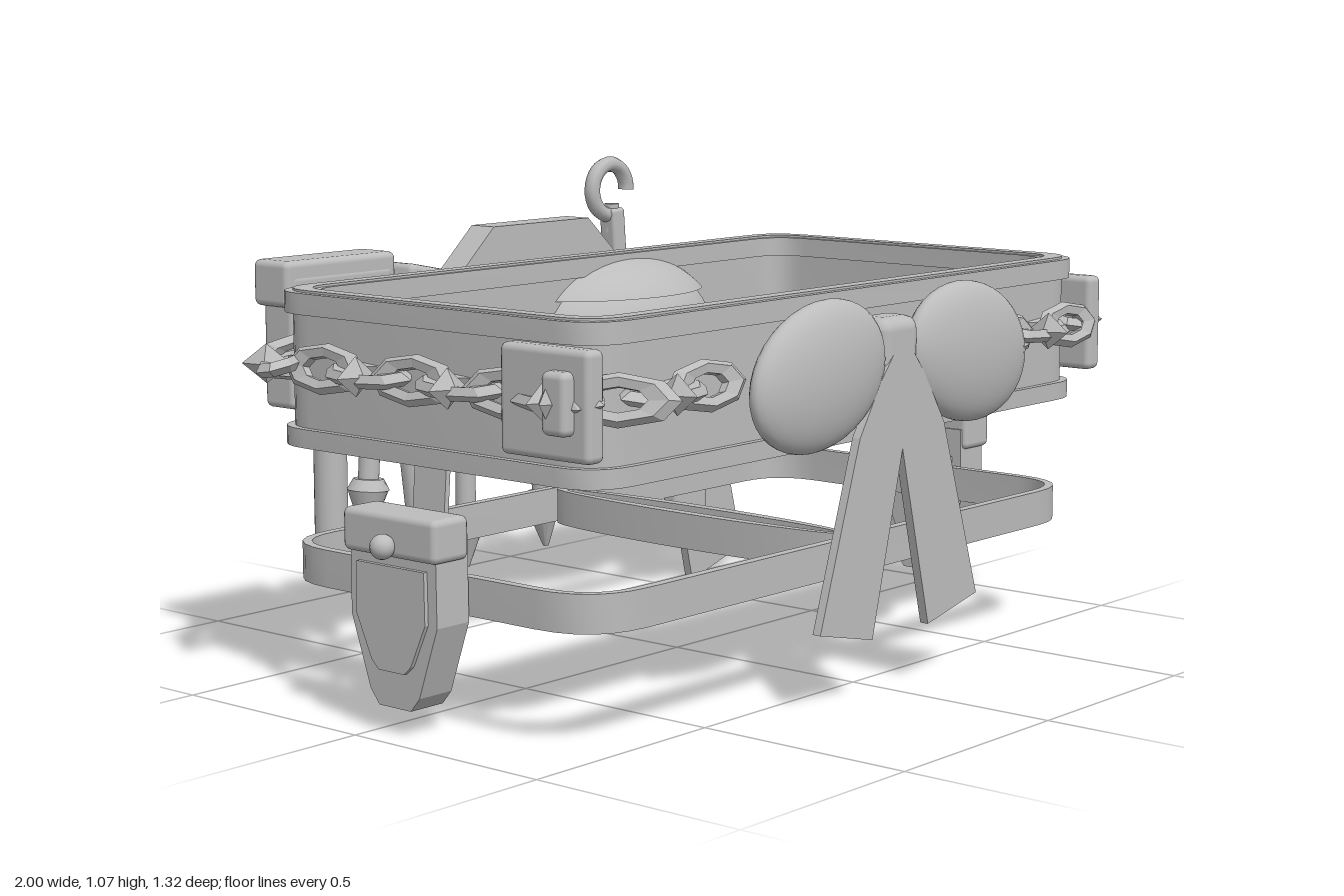
import * as THREE from 'three';
import { toCreasedNormals } from 'three/addons/utils/BufferGeometryUtils.js';
import { RoundedBoxGeometry } from 'three/addons/geometries/RoundedBoxGeometry.js';

const gray = new THREE.MeshStandardMaterial({ color: 0xbcbcbc, side: THREE.DoubleSide });
gray.name = 'plain gray';
const facetGray = gray.clone();
facetGray.flatShading = true;
facetGray.name = 'plain gray faceted';

function part(parent, name, geometry, x = 0, y = 0, z = 0, material = gray) {
  const mesh = new THREE.Mesh(geometry, material);
  mesh.name = name;
  mesh.position.set(x, y, z);
  parent.add(mesh);
  return mesh;
}

const rbox = (w, h, d, r = 0.015) => new RoundedBoxGeometry(w, h, d, 2, r);

// Rounded rectangle in plan, half sizes a and b around (0, cy)
function roundRect(a, b, r, cy, Type = THREE.Shape) {
  const s = new Type();
  s.moveTo(-a + r, cy - b);
  s.lineTo(a - r, cy - b);
  s.quadraticCurveTo(a, cy - b, a, cy - b + r);
  s.lineTo(a, cy + b - r);
  s.quadraticCurveTo(a, cy + b, a - r, cy + b);
  s.lineTo(-a + r, cy + b);
  s.quadraticCurveTo(-a, cy + b, -a, cy + b - r);
  s.lineTo(-a, cy - b + r);
  s.quadraticCurveTo(-a, cy - b, -a + r, cy - b);
  return s;
}

// Upright band following a rounded rectangle
function band(a, b, r, t, y0, y1) {
  const s = roundRect(a, b, r, -0.06);
  s.holes.push(roundRect(a - t, b - t, r * 0.8, -0.06, THREE.Path));
  const g = new THREE.ExtrudeGeometry(s, { depth: y1 - y0, bevelEnabled: false, curveSegments: 6 });
  return toCreasedNormals(g.rotateX(-Math.PI / 2).translate(0, y0, 0), 0.6);
}

// Flat polygon in the front plane with thickness
function plate(points, depth, hole) {
  const s = new THREE.Shape(points.map(p => new THREE.Vector2(...p)));
  if (hole) s.holes.push(new THREE.Path(hole.map(p => new THREE.Vector2(...p))));
  return new THREE.ExtrudeGeometry(s, { depth, bevelEnabled: false });
}

function addBelt(g) {
  part(g, 'beltWall', band(0.84, 0.45, 0.1, 0.035, 0.54, 0.87));
  for (const [y0, y1] of [[0.54, 0.58], [0.82, 0.865]])
    part(g, 'beltTrim', band(0.855, 0.465, 0.11, 0.06, y0, y1));
  part(g, 'lowerHoop', band(0.85, 0.455, 0.16, 0.022, 0.25, 0.33));

  // Narrow loop between the hoop's front and back
  const loop = new THREE.Shape().absellipse(0, -0.06, 0.052, 0.425, 0, Math.PI * 2);
  loop.holes.push(new THREE.Path().absellipse(0, -0.06, 0.027, 0.395, 0, Math.PI * 2));
  const geo = new THREE.ExtrudeGeometry(loop, { depth: 0.08, bevelEnabled: false, curveSegments: 20 });
  part(g, 'crossLoop', toCreasedNormals(geo.rotateX(-Math.PI / 2), 0.6), 0, 0.25, 0);
}

// Chain of alternately turned links with small spikes
function addChain(g) {
  const pts = roundRect(0.865, 0.475, 0.1, 0.06).getSpacedPoints(40);
  const link = new THREE.TorusGeometry(0.038, 0.016, 5, 8).scale(2.3, 1, 1);
  const spike = new THREE.OctahedronGeometry(0.035).scale(0.7, 1.2, 1.5);
  for (let i = 0; i < 40; i++) {
    const p = pts[i], q = pts[i + 1];
    const front = p.y > 0.45 && Math.abs(p.x) < 0.42;
    const back = p.y < -0.33 && p.x > -0.72 && p.x < 0.7;
    if (front || back) continue;
    const angle = -Math.atan2(q.y - p.y, q.x - p.x);
    const m = part(g, 'chainLink', link, p.x, 0.715, p.y, facetGray);
    m.rotation.set(i % 2 ? 1.35 : 0.25, angle, 0, 'YXZ');
    if (i % 2) {
      const k = part(g, 'chainSpike', spike, p.x, 0.715, p.y, facetGray);
      k.rotation.y = angle;
      k.translateZ(-0.035);
    }
  }
}

function addBow(g) {
  for (const s of [-1, 1]) {
    const lobe = part(g, 'bowLobe', new THREE.SphereGeometry(1, 32, 20).scale(0.218, 0.153, 0.055), s * 0.262, 0.71, 0.602);
    lobe.rotation.z = -s * 0.2;
    part(g, 'bowTail', plate([[s * 0.03, 0.74], [s * 0.08, 0.68], [s * 0.15, 0.57], [s * 0.28, 0.175], [s * 0.1, 0.135], [0, 0.53], [0, 0.74]], 0.02), 0, 0, 0.605);
  }
  part(g, 'bowKnot', rbox(0.13, 0.16, 0.1, 0.03), 0, 0.73, 0.575);
}

function addSides(g) {
  const outline = [[-0.12, 0.42], [-0.122, 0.24], [-0.07, 0.09], [-0.045, 0.06], [0.045, 0.06], [0.07, 0.09], [0.122, 0.24], [0.12, 0.42]];
  for (const s of [-1, 1]) {
    // Tapered holster with flap and stud
    const body = plate(outline, 0.09).translate(0, 0, -0.045).rotateY(Math.PI / 2);
    part(g, 'holsterBody', body, s * 0.9, 0, 0.06);
    part(g, 'holsterEdge', body.clone().scale(1.28, 0.6, 0.8), s * 0.897, 0.1, 0.06);
    part(g, 'holsterFlap', rbox(0.1, 0.09, 0.265), s * 0.91, 0.415, 0.06);
    part(g, 'holsterStud', new THREE.SphereGeometry(0.026, 16, 12), s * 0.974, 0.395, 0.06);
    const strap = part(g, 'holsterStrap', new THREE.BoxGeometry(0.012, 0.25, 0.09), s * 0.838, 0.45, 0.06);
    strap.rotation.z = s * 0.08;

    // Buckle plate at the front corner
    part(g, 'bucklePlate', rbox(0.05, 0.22, 0.235), s * 0.872, 0.71, 0.427);
    part(g, 'buckleLug', rbox(0.05, 0.125, 0.065), s * 0.9, 0.715, 0.475);
    const tip = part(g, 'buckleSpike', new THREE.OctahedronGeometry(0.035), s * 0.915, 0.715, 0.46, facetGray);
    tip.scale.set(0.8, 1.3, 0.8);
  }
}

function addBackPlate(g) {
  const oct = k => [[-0.27, 0.85], [-0.16, 0.95], [0.16, 0.95], [0.27, 0.85], [0.27, 0.61], [0.14, 0.5], [-0.14, 0.5], [-0.27, 0.61]]
    .map(([x, y]) => [x * k, 0.725 + (y - 0.725) * k]);
  part(g, 'backPlate', plate(oct(0.98), 0.04), 0, 0, -0.45);
  part(g, 'backPlateFrame', plate(oct(1), 0.07, oct(0.82)), 0, 0, -0.48);
  for (const [x, y] of oct(0.91))
    part(g, 'plateRivet', new THREE.SphereGeometry(0.017, 10, 8), x, y, -0.485);

  // Bulging round pouch with a rim along its upper edge
  part(g, 'roundPouch', new THREE.SphereGeometry(1, 36, 24).scale(0.305, 0.175, 0.21), 0.24, 0.675, -0.43);
  const rim = new THREE.CatmullRomCurve3([[-0.085, 0.72, -0.45], [-0.02, 0.77, -0.54], [0.1, 0.8, -0.62], [0.25, 0.81, -0.645],
    [0.4, 0.8, -0.62], [0.51, 0.77, -0.54], [0.565, 0.72, -0.45]].map(p => new THREE.Vector3(...p)));
  part(g, 'pouchRim', new THREE.TubeGeometry(rim, 36, 0.016, 6));
  const flap = new THREE.SphereGeometry(1, 36, 12, 0, Math.PI * 2, 0, 1.05).scale(0.32, 0.19, 0.225);
  part(g, 'pouchFlap', flap, 0.24, 0.675, -0.43);
}

function addPouch(g, x, y, w, h, d, tilt) {
  const p = new THREE.Group();
  p.name = 'beltPouch';
  p.position.set(x, y, -0.42 - d / 2);
  p.rotation.z = tilt;
  part(p, 'pouchBody', rbox(w * 0.93, h, d * 0.85), 0, -0.02, 0);
  part(p, 'pouchLid', rbox(w, 0.1, d), 0, h / 2 - 0.04, -0.01);
  part(p, 'pouchClasp', rbox(w * 0.3, 0.06, 0.03, 0.01), 0, h / 2 - 0.11, -d / 2);
  part(p, 'pouchStud', new THREE.SphereGeometry(0.022, 12, 8), 0, h / 2 - 0.05, -d / 2 - 0.012);
  g.add(p);
}

// Dart hanging point down, from its top to its tip
function addDart(g, x0, y0, x1, y1, z) {
  const d = new THREE.Group();
  d.name = 'hangingDart';
  const len = Math.hypot(x1 - x0, y1 - y0);
  d.position.set(x1, y1, z);
  d.rotation.z = Math.atan2(x1 - x0, y0 - y1);
  part(d, 'dartShaft', new THREE.CylinderGeometry(0.024, 0.024, len - 0.1, 12), 0, (len + 0.1) / 2, 0);
  part(d, 'dartHead', new THREE.CylinderGeometry(0.046, 0.007, 0.11, 14), 0, 0.055, 0);
  part(d, 'dartCollar', new THREE.CylinderGeometry(0.034, 0.048, 0.025, 14), 0, 0.122, 0);
  g.add(d);
}

function addBackGear(g) {
  addPouch(g, -0.61, 0.76, 0.325, 0.29, 0.11, 0);
  addPouch(g, -0.32, 0.72, 0.22, 0.27, 0.11, -0.2);
  addPouch(g, 0.6, 0.64, 0.25, 0.38, 0.13, 0);
  part(g, 'lowPouch', rbox(0.315, 0.14, 0.12), 0.557, 0.525, -0.455);
  addDart(g, 0.03, 0.6, 0.07, 0.17, -0.47);
  addDart(g, -0.2, 0.6, -0.2, 0.16, -0.47);
  addDart(g, -0.41, 0.62, -0.35, 0.165, -0.46);
  addDart(g, -0.51, 0.62, -0.535, 0.28, -0.45);
  part(g, 'hangingRod', new THREE.CylinderGeometry(0.037, 0.037, 0.35, 18), -0.62, 0.465, -0.47);

  // Cloth tails
  part(g, 'longTail', plate([[0.47, 0.48], [0.585, 0.005], [0.78, 0.065], [0.67, 0.48]], 0.022), 0, 0, -0.468);
  const tail = part(g, 'shortTail', plate([[0.64, 0.62], [0.73, 0.27], [0.85, 0.31], [0.78, 0.62]], 0.02), 0, 0.62, -0.455);
  tail.geometry.translate(0, -0.62, 0);
  tail.rotation.x = -0.15;

  // Hooked tool
  const shaft = part(g, 'hookShaft', rbox(0.045, 0.2, 0.05, 0.01), 0.425, 0.85, -0.565);
  shaft.rotation.z = 0.08;
  const arc = part(g, 'hookCurve', new THREE.TorusGeometry(0.062, 0.019, 8, 24, 4.7), 0.408, 0.995, -0.565);
  arc.rotation.z = -0.05;
  part(g, 'hookNeck', new THREE.CylinderGeometry(0.018, 0.02, 0.07, 8), 0.417, 0.925, -0.565);

  // Small padlock charm
  part(g, 'charmLink', new THREE.TorusGeometry(0.03, 0.01, 6, 12).rotateX(1.4), 0.48, 0.425, -0.43);
  part(g, 'charmHanger', new THREE.TorusGeometry(0.028, 0.01, 6, 12).rotateY(1.2), 0.5, 0.39, -0.43);
  part(g, 'charmShackle', new THREE.TorusGeometry(0.032, 0.011, 6, 16).scale(1, 1.5, 1), 0.515, 0.31, -0.43);
  part(g, 'charmBody', rbox(0.12, 0.09, 0.05), 0.53, 0.21, -0.425);
}

export function createModel() {
  const model = new THREE.Group();
  model.name = 'utilityBelt';
  for (const add of [addBelt, addChain, addBow, addSides, addBackPlate, addBackGear]) add(model);
  return model;
}
